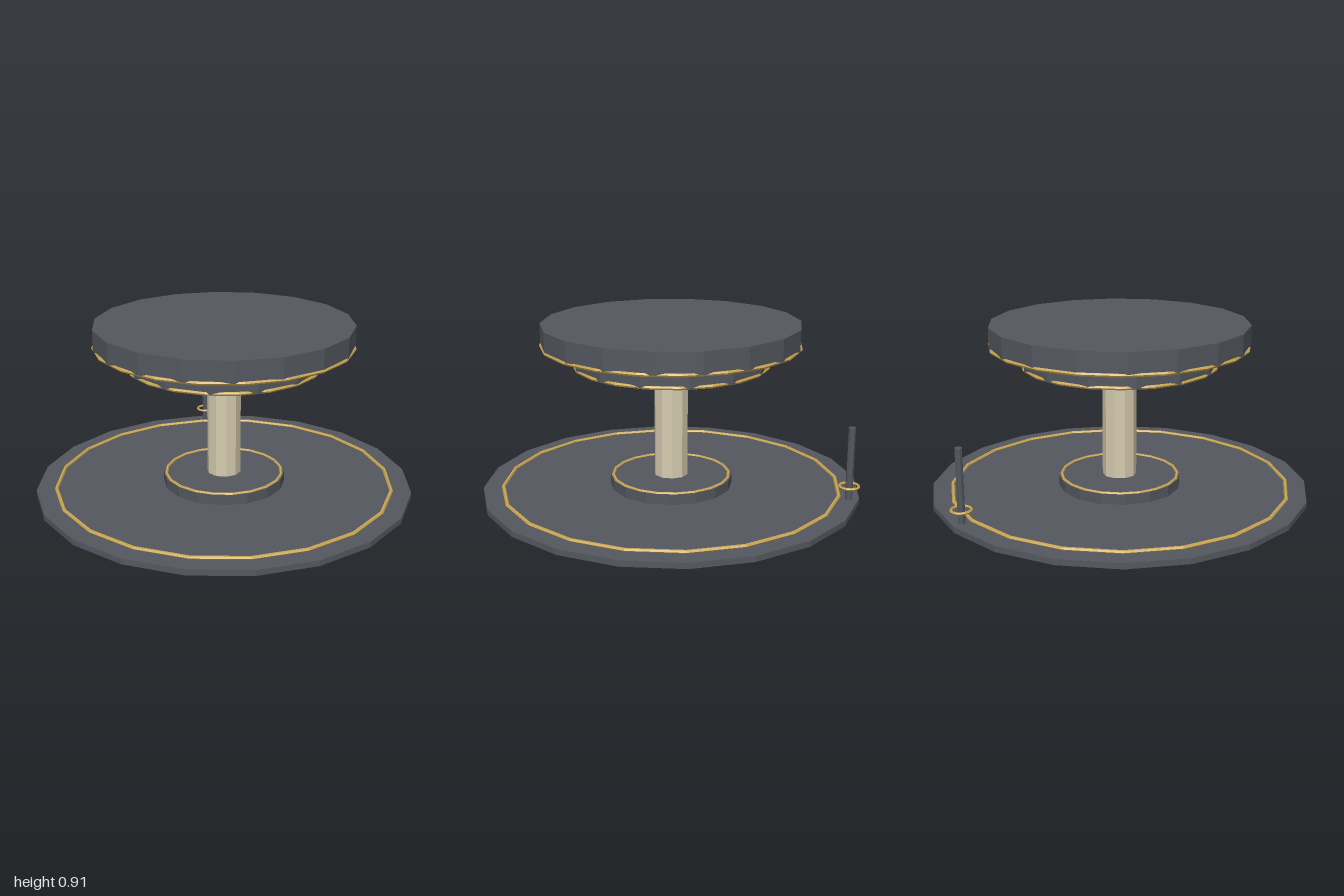
import * as THREE from 'three';

export function createModel() {
  const model = new THREE.Group();
  model.name = 'tieredStand';

  const mat = (name, color) => {
    const m = new THREE.MeshStandardMaterial({ color, flatShading: true });
    m.name = name;
    return m;
  };
  const slate = mat('slate', 0x54585f);
  const cream = mat('cream', 0xd6ccb0);
  const gold = mat('gold', 0xcaa652);

  const add = (name, geometry, material, x, y, z) => {
    const mesh = new THREE.Mesh(geometry, material);
    mesh.name = name;
    mesh.position.set(x, y, z);
    model.add(mesh);
  };
  // Upright prism between two heights
  const disc = (name, r, y0, y1, sides, material, x = 0, z = 0) =>
    add(name, new THREE.CylinderGeometry(r, r, y1 - y0, sides), material, x, (y0 + y1) / 2, z);
  // Flat-lying trim ring
  const ring = (name, r, tube, y, sides, x = 0, z = 0) =>
    add(name, new THREE.TorusGeometry(r, tube, 6, sides).rotateX(Math.PI / 2), gold, x, y, z);

  // Base plate with its inlaid ring
  disc('basePlate', 1, 0, 0.03, 20, slate);
  ring('baseRing', 0.895, 0.01, 0.034, 20);

  // Hub and central post
  disc('hub', 0.325, 0.03, 0.085, 16, slate);
  ring('hubRing', 0.31, 0.008, 0.085, 20);
  disc('post', 0.09, 0.085, 0.69, 10, cream);

  // Two stacked upper tiers, trimmed along their lower edges
  disc('lowerTier', 0.515, 0.69, 0.8, 14, slate);
  ring('lowerTierRing', 0.507, 0.01, 0.695, 20);
  disc('upperTier', 0.675, 0.8, 0.91, 18, slate);
  ring('upperTierRing', 0.67, 0.01, 0.8, 20);

  // Small rod near the rim with a loose ring around it
  disc('rod', 0.019, 0.03, 0.417, 8, slate, 0.57, -0.755);
  ring('rodRing', 0.05, 0.007, 0.1, 16, 0.57, -0.755);

  return model;
}
